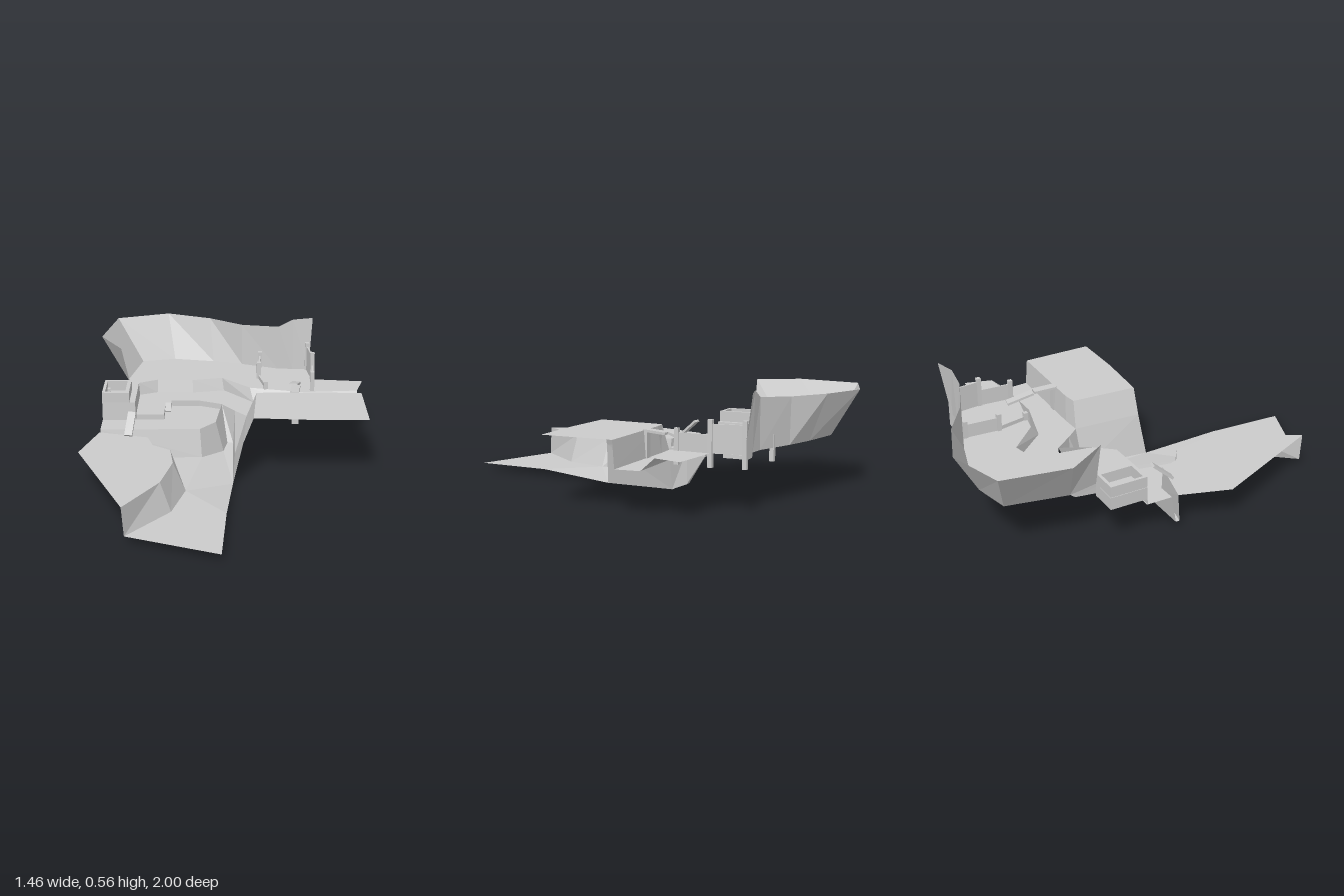
import * as THREE from 'three';

const mat = new THREE.MeshStandardMaterial({ color: 0xcccccc, flatShading: true, side: THREE.DoubleSide });

function add(group, name, geometry) {
  const mesh = new THREE.Mesh(geometry, mat);
  mesh.name = name;
  group.add(mesh);
  return mesh;
}

function fromPoints(points) {
  const g = new THREE.BufferGeometry();
  g.setAttribute('position', new THREE.Float32BufferAttribute(points.flat(), 3));
  g.computeVertexNormals();
  return g;
}

// Lift [x, z] or [x, z, y] to [x, y, z]
const lift = (pts, y) => pts.map(([x, z, h = y]) => [x, h, z]);

// Upward facing ground patch from an outline
function ground(pts, y) {
  const flat = pts.map(([x, z]) => new THREE.Vector2(x, -z));
  const ccw = !THREE.ShapeUtils.isClockWise(flat);
  const p = lift(pts, y);
  if (!ccw) { flat.reverse(); p.reverse(); }
  return fromPoints(THREE.ShapeUtils.triangulateShape(flat, []).flat().map(i => p[i]));
}

// Wall strip between two lines with equal numbers of points
function wall(top, topY, bottom, bottomY) {
  const a = lift(top, topY), b = lift(bottom, bottomY), out = [];
  for (let i = 0; i < a.length - 1; i++) out.push(a[i], b[i], b[i + 1], a[i], b[i + 1], a[i + 1]);
  return fromPoints(out);
}

function box(group, name, x0, x1, y0, y1, z0, z1) {
  const m = add(group, name, new THREE.BoxGeometry(x1 - x0, y1 - y0, z1 - z0));
  m.position.set((x0 + x1) / 2, (y0 + y1) / 2, (z0 + z1) / 2);
  return m;
}

// Bar whose length runs between two points
function bar(group, name, a, b, width, height) {
  const p = new THREE.Vector3(...a), q = new THREE.Vector3(...b);
  const m = add(group, name, new THREE.BoxGeometry(width, height, p.distanceTo(q)));
  m.position.copy(p).add(q).multiplyScalar(0.5);
  m.lookAt(q);
  return m;
}

export function createModel() {
  const model = new THREE.Group();
  const LOW = 0.035, SHELF = 0.18, BED = 0.21, TERRACE = 0.275, MESA = 0.343;

  // Back cliff leaning outwards
  const cliffBase = [[-0.51, -0.38], [-0.54, -0.53], [-0.48, -0.83], [-0.3, -0.87], [-0.08, -0.83],
    [0.08, -0.785], [0.28, -0.71], [0.36, -0.705], [0.45, -0.70]];
  const cliffRim = [[-0.56, -0.38], [-0.68, -0.58], [-0.62, -0.91], [-0.34, -1], [-0.1, -0.91],
    [0.08, -0.79], [0.28, -0.71, 0.52], [0.36, -0.715, 0.56], [0.47, -0.745, 0.56]];
  add(model, 'cliff', wall(cliffRim, 0.505, cliffBase, TERRACE));

  // Terrace below the cliff and its bank
  const bankTop = [[-0.65, -0.19], [-0.48, -0.19], [-0.48, -0.48], [-0.38, -0.53], [-0.19, -0.525],
    [-0.03, -0.56], [0.12, -0.41], [0.4, -0.345], [0.69, -0.37]];
  const bankFoot = [[-0.65, -0.185, SHELF], [-0.475, -0.185, SHELF], [-0.475, -0.47], [-0.38, -0.51],
    [-0.19, -0.505], [-0.02, -0.54], [0.14, -0.36], [0.4, -0.29], [0.68, -0.295]];
  add(model, 'terrace', ground([...bankTop, [0.73, -0.51], [0.46, -0.54], ...cliffBase.slice().reverse(),
    [-0.65, -0.38]], TERRACE));
  add(model, 'terraceBank', wall(bankTop, TERRACE, bankFoot, BED));

  // River bed and the step down to the shelf
  const step = [[-0.475, -0.19], [-0.33, -0.19], [-0.33, -0.34], [-0.3, -0.34], [-0.3, -0.385],
    [-0.15, -0.385], [-0.03, -0.335]];
  add(model, 'riverBed', ground([...step, [0.04, -0.24], [0.1, -0.17], [0.69, -0.17],
    ...bankFoot.slice(2).reverse()], BED));
  add(model, 'shelfStep', wall(step, BED, step, SHELF));

  // Lower shelf with its front wall
  const shelfTop = [[-0.65, -0.055], [-0.14, -0.065], [-0.06, -0.16], [-0.03, -0.335]];
  const shelfFoot = [[-0.65, -0.03], [-0.13, -0.035], [-0.02, -0.15, 0.02], [0.0, -0.235, 0.03]];
  add(model, 'shelf', ground([...shelfTop, ...step.slice(0, -1).reverse(), [-0.65, -0.19]], SHELF));
  add(model, 'shelfWall', wall(shelfTop.with(3, [-0.03, -0.335, BED]), SHELF, shelfFoot, LOW));

  // Waterfall slope
  add(model, 'fall', wall([[-0.03, -0.335], [0.04, -0.24], [0.1, -0.17]], BED,
    [[0, -0.235], [0.03, -0.235], [0.04, -0.16, 0]], 0.03));

  // Right mesa, open on its outer sides
  const mesaEdge = [[0.13, 0.185], [0.15, -0.155], [0.22, -0.165], [0.69, -0.16]];
  add(model, 'mesa', ground([...mesaEdge, [0.695, 0.205], [0.42, 0.205]], MESA));
  const mesaMid = [[0.08, 0.185], [0.1, -0.17], [0.2, -0.175], [0.69, -0.17]];
  add(model, 'mesaWall', wall(mesaEdge, MESA, mesaMid, BED));
  add(model, 'mesaSlope', wall(mesaMid.slice(0, 2), BED, [[0.03, 0.205], [0.04, -0.16]], 0));

  // Front plateau, open on its outer side
  const plateauEdge = [[-0.65, -0.02], [-0.4, 0.045], [-0.37, 0.14], [-0.28, 0.2], [-0.26, 0.35],
    [-0.31, 0.57], [-0.47, 0.83]];
  const plateauFoot = [[-0.65, -0.01], [-0.385, 0.05], [-0.355, 0.135], [-0.26, 0.195], [-0.2, 0.36],
    [-0.26, 0.585], [-0.46, 0.83]];
  add(model, 'plateau', ground([...plateauEdge, [-0.73, 0.23]], SHELF));
  add(model, 'plateauWall', wall(plateauEdge, SHELF, plateauFoot, LOW));

  // Valley floor, dipping towards the foot of the fall
  add(model, 'valleyTail', ground([[-0.2, 0.36], [-0.26, 0.585], [-0.46, 0.83], [-0.02, 0.995], [0, 0.6]], LOW));
  add(model, 'valleyDip', ground([[-0.2, 0.36, LOW], [0, 0.6, LOW], [0.03, 0.205], [0.04, -0.16],
    [0.03, -0.235, 0.03], [0, -0.235, 0.03], [-0.02, -0.15, 0.02], [-0.13, -0.035, LOW]], 0));
  add(model, 'valleyFloor', ground([[-0.65, -0.03], [-0.13, -0.035], [-0.2, 0.36],
    ...plateauFoot.slice(0, 4).reverse()], LOW));

  // Open-topped pen on the left end of the terrace
  const pen = new THREE.Group();
  pen.name = 'pen';
  model.add(pen);
  for (const [x0, x1, z0, z1] of [[-0.65, -0.635, -0.38, -0.19], [-0.53, -0.51, -0.38, -0.19],
    [-0.635, -0.53, -0.38, -0.365], [-0.635, -0.53, -0.205, -0.19]])
    box(pen, 'penWall', x0, x1, TERRACE, 0.33, z0, z1);
  box(pen, 'penBlock', -0.64, -0.62, TERRACE, 0.3, -0.345, -0.325);
  box(pen, 'penBase', -0.65, -0.51, 0.21, TERRACE - 0.002, -0.38, -0.19);

  // Planks and their support post
  bar(model, 'frontPlank', [-0.5, 0.185, 0.035], [-0.485, 0.272, -0.065], 0.04, 0.012);
  bar(model, 'bridgeSouthPlank', [0.345, 0.342, -0.16], [0.36, 0.335, -0.28], 0.045, 0.012);
  bar(model, 'bridgeNorthPlank', [0.345, 0.338, -0.29], [0.37, 0.3, -0.425], 0.045, 0.012);
  box(model, 'bridgePost', 0.335, 0.37, 0.17, 0.345, -0.18, -0.155);
  bar(model, 'stepRamp', [-0.315, 0.21, -0.345], [-0.315, 0.185, -0.29], 0.03, 0.012);

  // Fences either side of the yard
  const fences = [
    { top: 0.365, pts: [[0.18, -0.735], [0.17, -0.56], [0.205, -0.4]] },
    { top: 0.43, pts: [[0.44, -0.7], [0.46, -0.54], [0.45, -0.37]] },
  ];
  for (const { top, pts } of fences) {
    const fence = new THREE.Group();
    fence.name = 'fence';
    model.add(fence);
    pts.forEach(([x, z], i) => {
      const h = top - (i === 2 ? 0.05 : 0);
      box(fence, 'fencePost', x - 0.011, x + 0.011, BED, h, z - 0.011, z + 0.011);
      if (i === 0) return;
      const [px, pz] = pts[i - 1], mid = (h - 0.02 + TERRACE) / 2;
      bar(fence, 'fencePanel', [px, mid, pz], [x, mid, z], 0.008, h - 0.02 - TERRACE);
    });
  }

  // Sunken footing under the yard
  box(model, 'yardFooting', 0.27, 0.335, 0.235, TERRACE - 0.002, -0.67, -0.55);

  return model;
}
